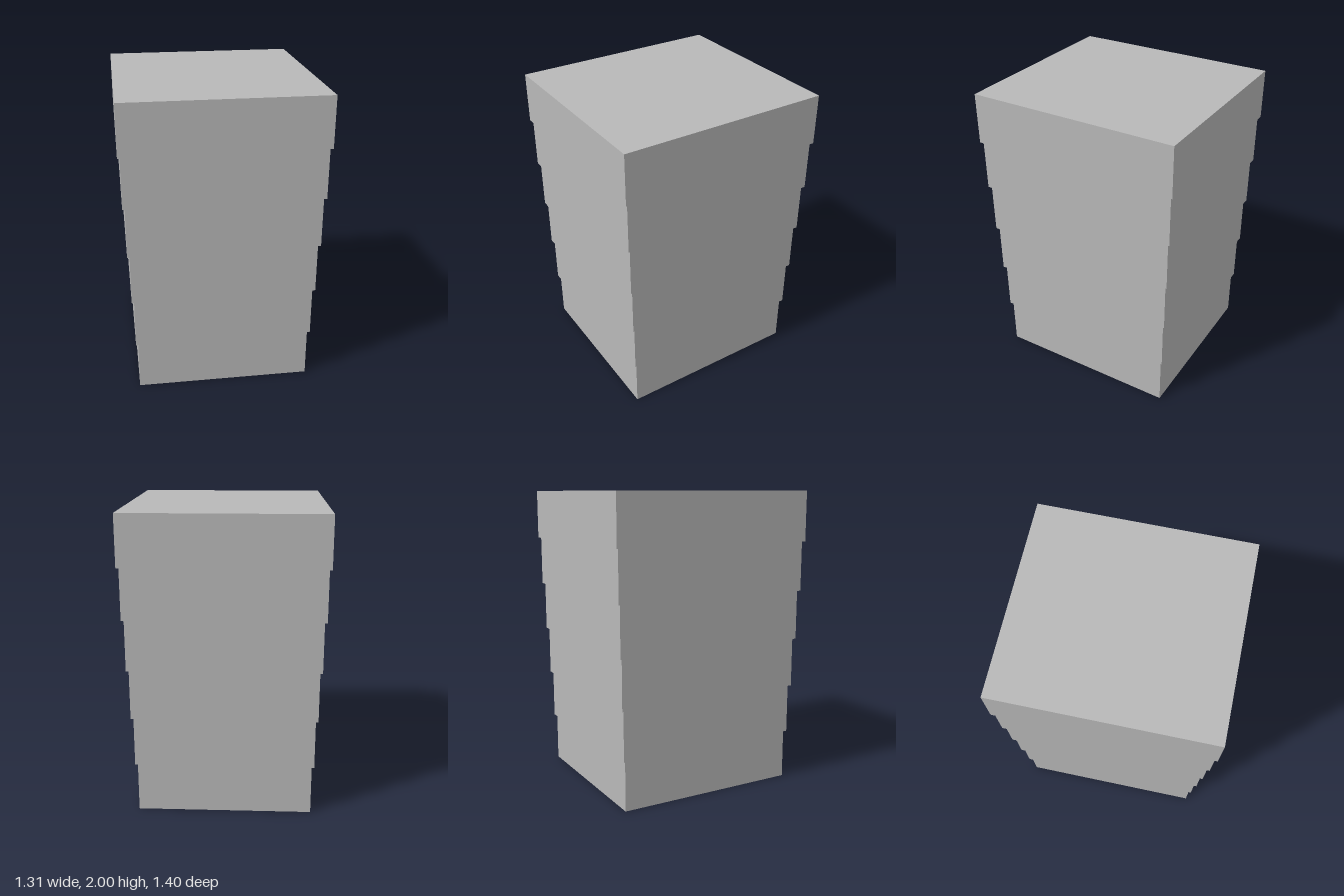
import * as THREE from 'three';

export function createModel() {
  const group = new THREE.Group();
  group.name = 'steppedBlock';
  const grey = new THREE.MeshStandardMaterial({ name: 'grey', color: 0xb8b8b8 });

  // six stacked slabs, each slightly wider than the one below
  const count = 6;
  const height = 2 / count;
  for (let i = 0; i < count; i++) {
    const t = i / (count - 1);
    const width = THREE.MathUtils.lerp(1.153, 1.306, t);
    const depth = THREE.MathUtils.lerp(1.248, 1.402, t);
    const slab = new THREE.Mesh(new THREE.BoxGeometry(width, height, depth), grey);
    slab.name = `slab${i + 1}`;
    slab.position.y = (i + 0.5) * height;
    group.add(slab);
  }
  return group;
}
